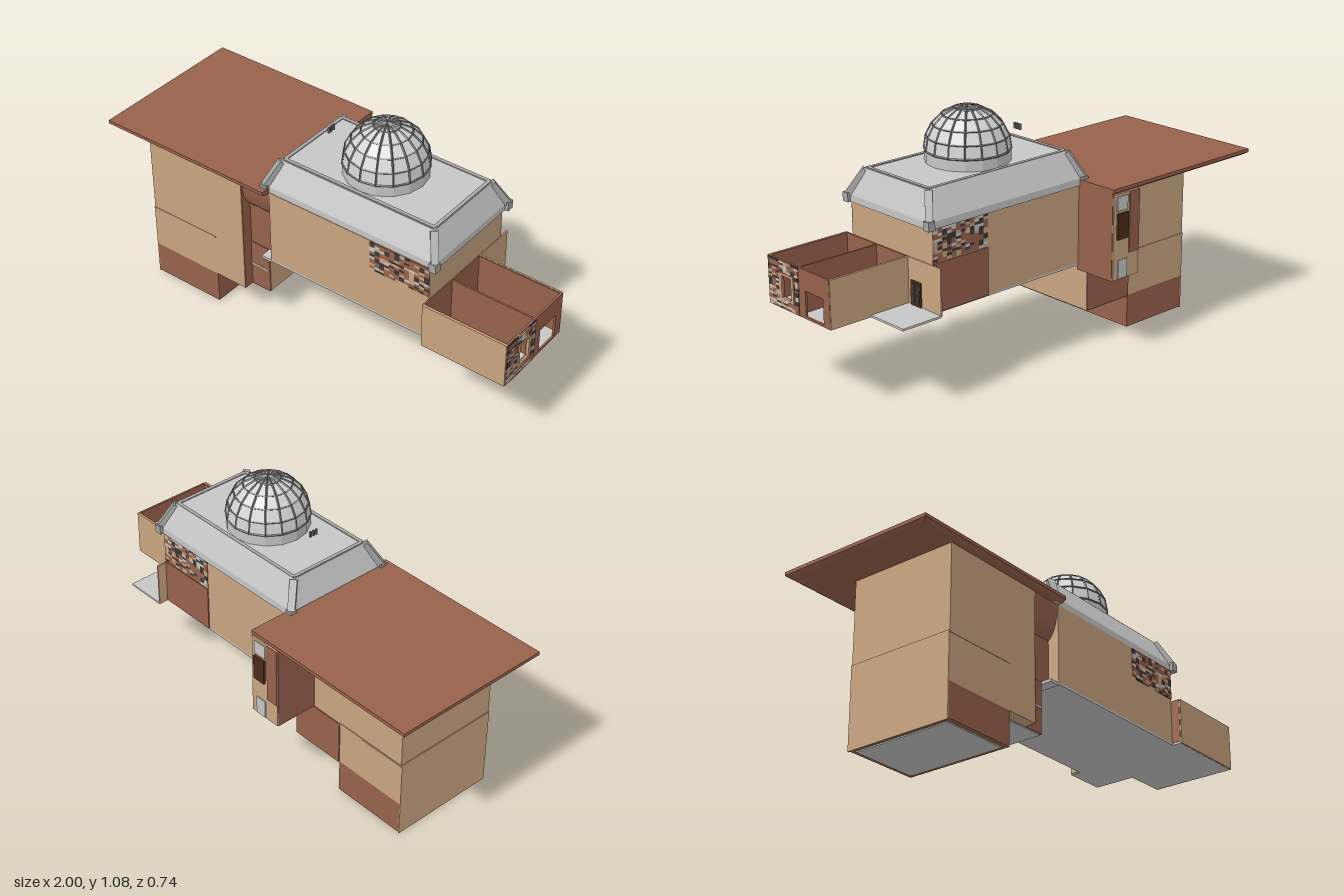
import * as THREE from 'three';

export function createModel() {
  const root = new THREE.Group();
  root.name = 'observatoryHouse';
  const mat = (name, color) => {
    const m = new THREE.MeshStandardMaterial({ color });
    m.name = name;
    m.flatShading = true;
    return m;
  };
  const tan = mat('tanWall', 0xc8a47e), brown = mat('brownWall', 0x97614c);
  const gray = mat('lightGray', 0xc6c6c6), rib = mat('ribGray', 0x727272);
  const trim = mat('trimGray', 0xa6a6a6), door = mat('doorBrown', 0x4a2b18);
  const dark = mat('darkPanel', 0x3c3836), glass = mat('domePanel', 0xd2d2d2);

  const add = (name, geo, m, parent = root) => {
    const mesh = new THREE.Mesh(geo, m);
    mesh.name = name;
    parent.add(mesh);
    return mesh;
  };
  // box given by its limits
  const box = (name, m, x0, x1, y0, y1, z0, z1, parent = root) => {
    const b = add(name, new THREE.BoxGeometry(x1 - x0, y1 - y0, z1 - z0), m, parent);
    b.position.set((x0 + x1) / 2, (y0 + y1) / 2, (z0 + z1) / 2);
    return b;
  };
  // square bar between two points
  const beam = (name, m, a, b, w) => {
    const p = new THREE.Vector3(...a), q = new THREE.Vector3(...b);
    const o = add(name, new THREE.BoxGeometry(w, w, p.distanceTo(q)), m);
    o.position.copy(p).lerp(q, 0.5);
    o.lookAt(q);
  };
  // stacked rectangles [y, x0, x1, z0, z1] joined into a closed solid
  const loft = (rows) => {
    const rings = rows.map(([y, x0, x1, z0, z1]) => [[x0, y, z1], [x1, y, z1], [x1, y, z0], [x0, y, z0]]);
    const pos = [];
    const quad = (a, b, c, d) => pos.push(...a, ...b, ...c, ...a, ...c, ...d);
    for (let i = 0; i < rings.length - 1; i++)
      for (let j = 0; j < 4; j++) {
        const k = (j + 1) % 4;
        quad(rings[i][j], rings[i][k], rings[i + 1][k], rings[i + 1][j]);
      }
    const t = rings[rings.length - 1], u = rings[0];
    quad(t[0], t[1], t[2], t[3]);
    quad(u[3], u[2], u[1], u[0]);
    const g = new THREE.BufferGeometry();
    g.setAttribute('position', new THREE.Float32BufferAttribute(pos, 3));
    g.computeVertexNormals();
    return g;
  };
  // patchwork of thin tiles, in the xy plane of a group
  let seed = 7;
  const rnd = () => (seed = (seed * 16807) % 2147483647) / 2147483647;
  const patchwork = (name, w, h, nx, ny, skip = () => false) => {
    const g = new THREE.Group();
    g.name = name;
    const pick = [brown, brown, brown, dark, dark, gray, tan];
    for (let i = 0; i < nx; i++)
      for (let j = 0; j < ny; j++) {
        const u = (i + 0.5) / nx, v = (j + 0.5) / ny;
        if (skip(u, v)) continue;
        const m = pick[Math.floor(rnd() * pick.length)];
        box('tile', m, i * w / nx, (i + 1) * w / nx, j * h / ny, (j + 1) * h / ny, 0, 0.004, g);
      }
    root.add(g);
    return g;
  };

  // lower storey and its floor
  box('baseStorey', brown, -0.81, -0.47, 0.005, 0.15, -0.165, 0.32);
  box('baseFloor', gray, -0.79, -0.49, 0, 0.01, -0.145, 0.3);
  box('baseSidePanel', tan, -0.814, -0.809, 0, 0.35, -0.165, 0.32);

  // tall wing
  box('wingWalls', tan, -0.81, -0.32, 0.15, 0.712, -0.165, 0.32);
  box('wingFloor', gray, -0.47, -0.225, 0.145, 0.152, -0.163, 0.27);
  box('wingSideLower', brown, -0.322, -0.316, 0.15, 0.712, 0.26, 0.32);
  box('lowerRoom', tan, -0.4, -0.22, 0.15, 0.345, -0.165, 0.27);
  box('lowerRoomFront', brown, -0.32, -0.22, 0.15, 0.37, 0.265, 0.274);
  box('lowerRoomStripe', gray, -0.32, -0.225, 0.255, 0.262, 0.27, 0.277);
  box('lowerRoomBack', brown, -0.47, -0.22, 0.15, 0.345, -0.17, -0.163);
  box('lowerRoomCornice', brown, -0.32, -0.218, 0.345, 0.368, -0.168, 0.272);
  box('wingLedge', tan, -0.813, -0.47, 0.342, 0.349, -0.168, 0.322);

  // connecting bay with a curved overhang
  box('bayWall', brown, -0.32, -0.17, 0.37, 0.712, -0.165, 0.27);
  box('baySlab', gray, -0.22, -0.17, 0.36, 0.372, -0.165, 0.32);
  const s = new THREE.Shape();
  s.moveTo(0.2, 0.565);
  s.lineTo(0.27, 0.565);
  s.quadraticCurveTo(0.315, 0.6, 0.318, 0.712);
  s.lineTo(0.2, 0.712);
  const over = add('bayOverhang', new THREE.ExtrudeGeometry(s, { depth: 0.15, bevelEnabled: false, curveSegments: 10 }), brown);
  over.rotation.y = -Math.PI / 2;
  over.position.x = -0.17;
  over.scale.set(1, 1, 1);

  // back porch with door
  box('porchWalls', brown, -0.32, -0.17, 0.345, 0.712, -0.355, -0.16);
  box('porchBackWall', tan, -0.318, -0.172, 0.347, 0.712, -0.36, -0.354);
  box('porchBackPanel', brown, -0.318, -0.262, 0.45, 0.712, -0.364, -0.358);
  box('porchTransom', gray, -0.25, -0.19, 0.64, 0.7, -0.364, -0.358);
  box('porchDoor', door, -0.25, -0.19, 0.52, 0.63, -0.37, -0.358);
  box('porchLowerPanel', gray, -0.25, -0.2, 0.35, 0.43, -0.364, -0.358);

  // flat wing roof
  add('wingRoof', loft([[0.71, -0.985, -0.17, -0.345, 0.345], [0.72, -1, -0.17, -0.36, 0.36], [0.735, -1, -0.17, -0.36, 0.36]]), brown);

  // main hall
  box('hallWalls', tan, -0.17, 0.61, 0.372, 0.712, -0.165, 0.32);
  box('hallFloor', gray, -0.17, 0.61, 0.365, 0.374, -0.165, 0.32);
  box('hallBackPanel', brown, 0.33, 0.61, 0.37, 0.57, -0.17, -0.163);
  patchwork('frontPatchwork', 0.28, 0.135, 12, 12, (u, v) => v < 0.12 && (u < 0.1 || u > 0.45 && u < 0.6)).position.set(0.33, 0.575, 0.319);
  const bp = patchwork('backPatchwork', 0.28, 0.135, 12, 12);
  bp.rotation.y = Math.PI;
  bp.position.set(0.61, 0.575, -0.164);

  // side rooms, open at the top
  box('roomFloorFront', gray, 0.61, 0.99, 0.365, 0.374, 0.17, 0.36);
  box('roomFloorMiddle', gray, 0.61, 0.985, 0.365, 0.374, -0.02, 0.17);
  box('terraceFloor', gray, 0.61, 0.8, 0.365, 0.374, -0.212, -0.02);
  box('terraceWall', tan, 0.606, 0.613, 0.37, 0.565, -0.212, -0.02);
  box('terraceDoor', door, 0.61, 0.618, 0.374, 0.475, -0.1, -0.04);
  for (const [y0, y1] of [[0.385, 0.42], [0.43, 0.465]])
    for (const z of [-0.092, -0.066]) box('doorPanel', dark, 0.615, 0.62, y0, y1, z, z + 0.018);
  box('roomFrontWall', tan, 0.61, 0.99, 0.366, 0.565, 0.358, 0.366);
  box('roomFrontLining', brown, 0.61, 0.985, 0.374, 0.564, 0.352, 0.359);
  box('roomBackWall', tan, 0.61, 0.99, 0.366, 0.565, -0.023, -0.016);
  box('roomBackLining', brown, 0.61, 0.985, 0.374, 0.564, -0.017, -0.01);
  box('roomDivider', brown, 0.61, 0.985, 0.374, 0.564, 0.166, 0.174);
  box('roomHallLining', brown, 0.608, 0.615, 0.374, 0.565, -0.02, 0.36);

  // end wall with doorway and window
  const wall = new THREE.Shape([[-0.36, 0.366], [0.02, 0.366], [0.02, 0.565], [-0.36, 0.565]].map(p => new THREE.Vector2(...p)));
  for (const [a, b, c, d] of [[-0.13, -0.02, 0.376, 0.48], [-0.275, -0.215, 0.415, 0.505]])
    wall.holes.push(new THREE.Path([[a, c], [a, d], [b, d], [b, c]].map(p => new THREE.Vector2(...p))));
  const end = add('roomEndWall', new THREE.ExtrudeGeometry(wall, { depth: 0.009, bevelEnabled: false }), brown);
  end.rotation.y = Math.PI / 2;
  end.position.x = 0.982;
  const ep = patchwork('endPatchwork', 0.19, 0.195, 8, 22, (u, v) => u > 0.36 && u < 0.88 && v > 0.2 && v < 0.75);
  ep.rotation.y = Math.PI / 2;
  ep.position.set(0.99, 0.368, 0.36);
  for (const [y0, y1, z0, z1] of [[0.405, 0.415, 0.2, 0.29], [0.505, 0.515, 0.2, 0.29], [0.415, 0.505, 0.2, 0.215], [0.415, 0.505, 0.275, 0.29]])
    box('windowFrame', tan, 0.988, 0.996, y0, y1, z0, z1);

  // sloping hall roof with corner ribs and rim
  add('hallRoof', loft([[0.71, -0.19, 0.63, -0.172, 0.318], [0.74, -0.19, 0.63, -0.172, 0.318], [0.85, -0.148, 0.588, -0.12, 0.265]]), gray);
  for (const [xb, xt] of [[-0.188, -0.143], [0.628, 0.583]])
    for (const [zb, zt] of [[-0.17, -0.116], [0.318, 0.262]]) {
      box('cornerFoot', trim, xb - 0.016, xb + 0.016, 0.71, 0.748, zb - 0.016, zb + 0.016);
      beam('cornerRib', trim, [xb, 0.74, zb], [xt, 0.843, zt], 0.03);
    }
  for (const z of [-0.112, 0.253]) box('roofRim', trim, -0.14, 0.58, 0.846, 0.854, z - 0.008, z + 0.008);
  for (const x of [-0.138, 0.577]) box('roofRim', trim, x - 0.008, x + 0.008, 0.846, 0.854, -0.11, 0.25);
  for (const z of [0.055, 0.07, 0.085]) box('roofMarker', rib, -0.055, -0.047, 0.92, 0.945, z - 0.004, z + 0.004);

  // drum and ribbed dome
  const dome = new THREE.Group();
  dome.name = 'dome';
  dome.position.set(0.22, 0.898, 0.07);
  root.add(dome);
  const R = 0.173;
  add('drum', new THREE.CylinderGeometry(R, R, 0.05, 16), gray, dome).position.y = -0.025;
  add('domeShell', new THREE.SphereGeometry(R, 16, 5, 0, Math.PI * 2, 0, Math.PI / 2), glass, dome);
  for (let i = 0; i < 16; i++)
    add('meridianRib', new THREE.TorusGeometry(R, 0.0042, 4, 5, Math.PI / 2), rib, dome).rotation.y = i * Math.PI / 8;
  for (let i = 0; i < 5; i++) {
    const a = i * Math.PI / 10;
    const ring = add('ringRib', new THREE.TorusGeometry(R * Math.cos(a), 0.0042, 4, 16), rib, dome);
    ring.rotation.x = Math.PI / 2;
    ring.position.y = R * Math.sin(a);
  }
  return root;
}
